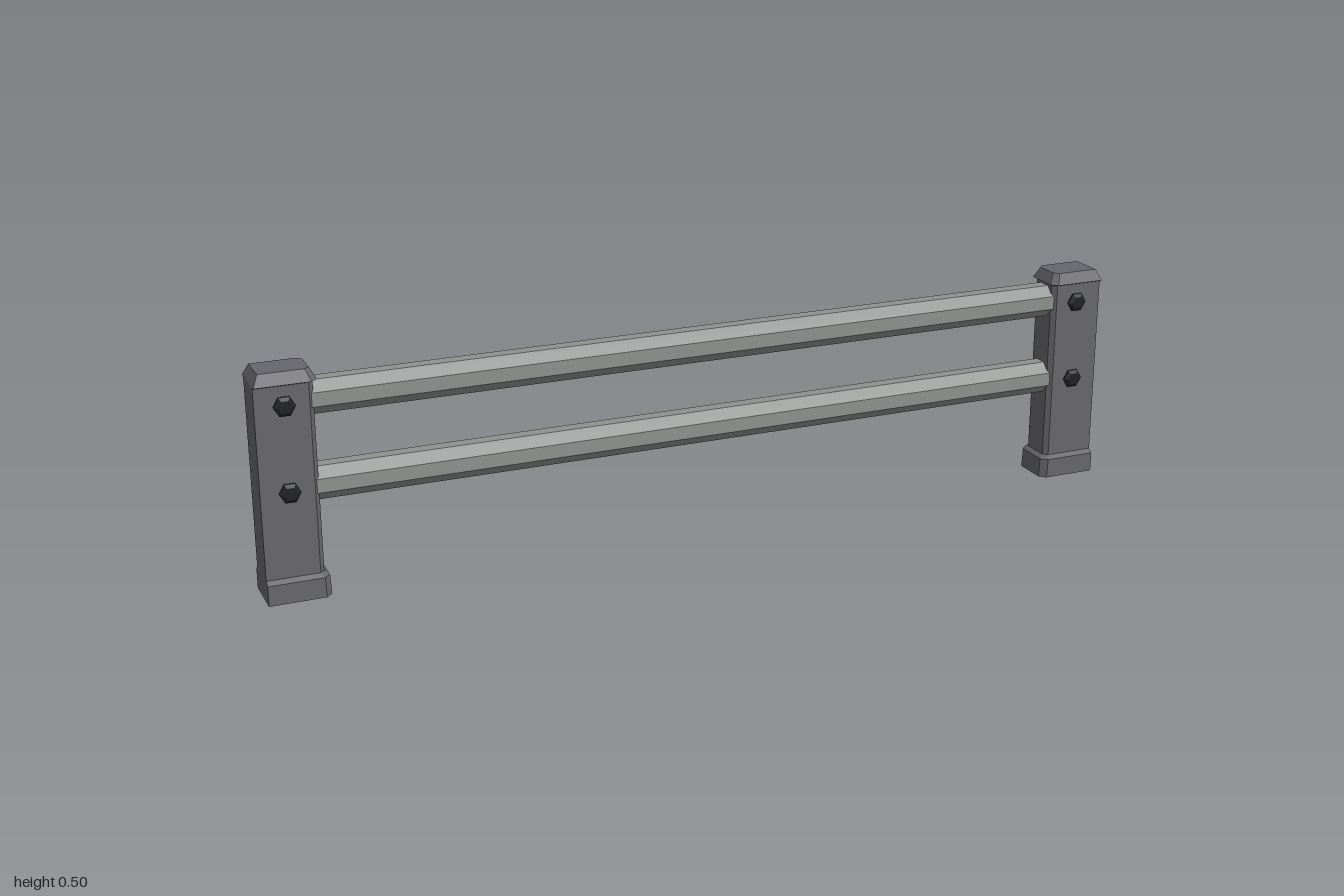
import * as THREE from 'three';

const postMaterial = new THREE.MeshStandardMaterial({ color: 0x66666c });
postMaterial.name = 'dark grey post';
const railMaterial = new THREE.MeshStandardMaterial({ color: 0x8d928f });
railMaterial.name = 'light grey rail';
const boltMaterial = new THREE.MeshStandardMaterial({ color: 0x202224 });
boltMaterial.name = 'black bolt';

// Section of a post: flat outer face, chamfered inner corners
function section([y, outer, inner, half, chamfer]) {
  return [
    [outer, y, half], [inner - chamfer, y, half], [inner, y, half - chamfer],
    [inner, y, chamfer - half], [inner - chamfer, y, -half], [outer, y, -half],
  ];
}

// Joins the sections from bottom to top with flat faces and end caps
function loft(levels) {
  const rings = levels.map(section);
  const points = [];
  const n = rings[0].length;
  for (let r = 0; r < rings.length - 1; r++) {
    for (let i = 0; i < n; i++) {
      const j = (i + 1) % n;
      const a = rings[r][i], b = rings[r][j], c = rings[r + 1][j], d = rings[r + 1][i];
      points.push(a, b, c, a, c, d);
    }
  }
  const bottom = rings[0], top = rings[rings.length - 1];
  for (let i = 1; i < n - 1; i++) {
    points.push(bottom[0], bottom[i + 1], bottom[i]);
    points.push(top[0], top[i], top[i + 1]);
  }
  const geometry = new THREE.BufferGeometry();
  geometry.setAttribute('position', new THREE.Float32BufferAttribute(points.flat(), 3));
  geometry.computeVertexNormals();
  return geometry;
}

// Flat-faced prism with its axis along y
function prism(topRadius, bottomRadius, length, sides) {
  const geometry = new THREE.CylinderGeometry(topRadius, bottomRadius, length, sides).toNonIndexed();
  geometry.computeVertexNormals();
  return geometry;
}

function addMesh(parent, name, geometry, material) {
  const mesh = new THREE.Mesh(geometry, material);
  mesh.name = name;
  parent.add(mesh);
  return mesh;
}

export function createModel() {
  const model = new THREE.Group();
  model.name = 'guardRail';

  const railHeights = [0.243, 0.431];

  // Post levels: height, outer x, inner x, half depth, chamfer
  const baseGeometry = loft([
    [0, -1, -0.863, 0.053, 0.014],
    [0.045, -1, -0.865, 0.053, 0.014],
    [0.053, -1, -0.875, 0.042, 0.01],
  ]);
  const shaftGeometry = loft([
    [0.053, -1, -0.875, 0.042, 0.01],
    [0.472, -1, -0.875, 0.042, 0.01],
  ]);
  const capGeometry = loft([
    [0.472, -1, -0.875, 0.042, 0.01],
    [0.476, -1, -0.867, 0.052, 0.014],
    [0.501, -0.988, -0.88, 0.039, 0.011],
  ]);

  // Bolt head: short hexagonal collar with a bevelled face
  const boltRim = prism(0.0235, 0.0235, 0.006, 6);
  const boltFace = prism(0.015, 0.0235, 0.005, 6);

  for (const side of [-1, 1]) {
    const post = new THREE.Group();
    post.name = side < 0 ? 'rightPost' : 'leftPost';
    post.rotation.y = side < 0 ? 0 : Math.PI;
    model.add(post);
    addMesh(post, 'postBase', baseGeometry, postMaterial);
    addMesh(post, 'postShaft', shaftGeometry, postMaterial);
    addMesh(post, 'postCap', capGeometry, postMaterial);

    for (const y of railHeights) {
      for (const face of [-1, 1]) {
        const bolt = new THREE.Group();
        bolt.name = 'bolt';
        bolt.position.set(-0.938, y - 0.003, face * 0.042);
        bolt.rotation.set(face * Math.PI / 2, Math.PI / 2, 0, 'XYZ');
        addMesh(bolt, 'boltRim', boltRim, boltMaterial).position.y = 0.001;
        addMesh(bolt, 'boltFace', boltFace, boltMaterial).position.y = 0.0065;
        post.add(bolt);
      }
    }
  }

  // Octagonal rails running between the posts, with flat tops
  const railGeometry = prism(0.04, 0.04, 1.77, 8);
  railGeometry.rotateY(Math.PI / 8).rotateZ(Math.PI / 2);
  railHeights.forEach((y, i) => {
    addMesh(model, i ? 'upperRail' : 'lowerRail', railGeometry, railMaterial).position.y = y;
  });

  return model;
}
